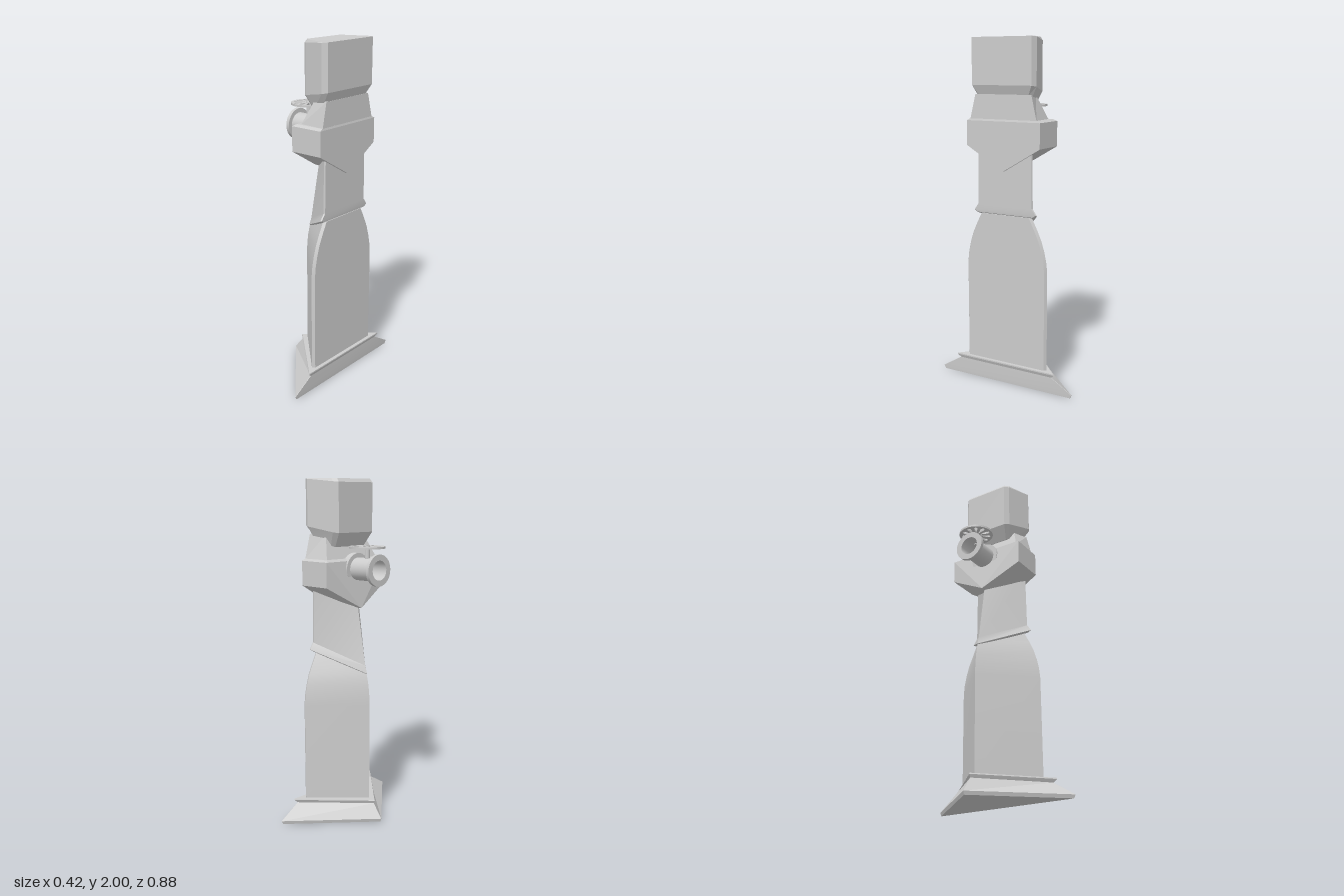
import * as THREE from 'three';
import { toCreasedNormals } from 'three/addons/utils/BufferGeometryUtils.js';

const material = new THREE.MeshStandardMaterial({ color: 0xcccccc, side: THREE.DoubleSide });

function add(parent, name, geometry) {
  const mesh = new THREE.Mesh(geometry, material);
  mesh.name = name;
  parent.add(mesh);
  return mesh;
}

// Skins a list of rings (arrays of [x, y, z]) and caps both ends.
function loft(rings, crease = 0.35) {
  const pos = [];
  const tri = (a, b, c) => pos.push(...a, ...b, ...c);
  const n = rings[0].length;
  for (let k = 0; k < rings.length - 1; k++) {
    for (let i = 0; i < n; i++) {
      const j = (i + 1) % n, lo = rings[k], hi = rings[k + 1];
      tri(lo[i], lo[j], hi[j]);
      tri(lo[i], hi[j], hi[i]);
    }
  }
  const first = rings[0], last = rings[rings.length - 1];
  for (let i = 1; i < n - 1; i++) {
    tri(first[0], first[i + 1], first[i]);
    tri(last[0], last[i], last[i + 1]);
  }
  const g = new THREE.BufferGeometry();
  g.setAttribute('position', new THREE.Float32BufferAttribute(pos, 3));
  return toCreasedNormals(g, crease);
}

// Triangular section: apex towards -x, flat back, trimmed back corners.
// y is a number or a function of x.
function wedge(apex, back, half, y, trim = 0.016) {
  const at = typeof y === 'function' ? y : () => y;
  const p = (x, z) => [x, at(x), z];
  return [p(apex, 0), p(back - trim, half), p(back, half - trim * 0.7),
    p(back, -half + trim * 0.7), p(back - trim, -half)];
}

// Four-sided section with its own front and back widths.
const rect = (x0, x1, h0, h1, y) => [[x0, y, h0], [x1, y, h1], [x1, y, -h1], [x0, y, -h0]];

// Eight-sided head section; the front and back may lie at different heights.
function headRing(x0, x1, s, yFront, yBack) {
  const half = [[0, 0.135], [0.12, 0.157], [0.86, 0.206], [1, 0.19]].map(([t, z]) =>
    [x0 + (x1 - x0) * t, yFront + (yBack - yFront) * t, z * s]);
  return [...half, ...half.slice().reverse().map(([x, y, z]) => [x, y, -z])];
}

export function createModel() {
  const model = new THREE.Group();
  model.name = 'column';

  // Flared triangular foot with a small upper lip
  add(model, 'base', loft([
    wedge(-0.205, 0.183, 0.43, 0, 0.002),
    wedge(-0.213, 0.185, 0.44, 0.02, 0.002),
    wedge(-0.15, 0.187, 0.31, 0.1, 0.002),
    wedge(-0.16, 0.195, 0.33, 0.118, 0.002),
    wedge(-0.155, 0.195, 0.328, 0.125, 0.002),
  ]));

  // Lower shaft, straight then curving inwards
  add(model, 'lowerShaft', loft([
    [0.12, -0.112, 0.266], [0.7, -0.112, 0.266], [0.76, -0.11, 0.26], [0.82, -0.103, 0.247],
    [0.88, -0.09, 0.229], [0.94, -0.06, 0.202], [1.01, -0.03, 0.166],
  ].map(([y, apex, half]) => wedge(apex, 0.174, half, y))));

  // Upper shaft with a slanted lip at its lower edge
  const slant = (lift) => (x) => 0.877 + lift + (x + 0.09) * 0.515;
  add(model, 'upperShaft', loft([
    wedge(-0.08, 0.178, 0.185, slant(0), 0.008),
    wedge(-0.092, 0.18, 0.207, slant(0.012), 0.008),
    wedge(-0.076, 0.18, 0.18, slant(0.05), 0.008),
    wedge(0.008, 0.18, 0.175, 1.42, 0.008),
  ]));

  // Collar: pentagon with a keel-shaped underside and a pointed front
  const pentagon = (x, xKeel, yKeel) => [[xKeel, yKeel, 0], [x, 1.4, -0.236],
    [x, 1.542, -0.236], [x, 1.542, 0.236], [x, 1.4, 0.236]];
  add(model, 'collar', loft([pentagon(-0.005, -0.045, 1.27), pentagon(0.198, 0.198, 1.262)], 0.1));
  add(model, 'collarBevel', loft([
    rect(-0.005, 0.198, 0.236, 0.236, 1.542), rect(0.012, 0.195, 0.216, 0.216, 1.553),
  ], 0.1));

  // Tapering neck
  add(model, 'neck', loft([
    rect(0.03, 0.195, 0.2, 0.214, 1.55), rect(0.09, 0.192, 0.15, 0.18, 1.69),
  ], 0.1));

  // Head block with bevelled top and tapered underside
  add(model, 'head', loft([
    headRing(0.05, 0.19, 0.85, 1.62, 1.69),
    headRing(0, 0.21, 1, 1.7, 1.74),
    headRing(0, 0.21, 1, 1.98, 2),
    headRing(0.016, 0.21, 0.97, 2, 2),
  ], 0.1));

  const valve = new THREE.Group();
  valve.name = 'valve';
  model.add(valve);

  // Hollow outlet pipe with a flange at each end
  const profile = [[0, -0.02], [0.09, -0.02], [0.09, 0.018], [0.065, 0.018], [0.065, 0.165],
    [0.09, 0.165], [0.09, 0.185], [0.056, 0.185], [0.056, 0.03], [0, 0.03]]
    .map(([r, y]) => new THREE.Vector2(r, y));
  const pipe = add(valve, 'outletPipe',
    toCreasedNormals(new THREE.LatheGeometry(profile, 32).toNonIndexed(), 0.5));
  pipe.rotation.z = Math.PI / 2;
  pipe.position.y = 1.495;

  // Handwheel: thin disc with teardrop openings
  const disc = new THREE.Shape().absarc(0, 0, 0.102, 0, Math.PI * 2);
  const petals = 11;
  for (let i = 0; i < petals; i++) {
    const a = Math.PI * (0.45 + (2 * i) / petals);
    const at = (r, t) => [r * Math.cos(a) - t * Math.sin(a), r * Math.sin(a) + t * Math.cos(a)];
    const hole = new THREE.Path().moveTo(...at(0.024, 0));
    hole.lineTo(...at(0.074, -0.012));
    hole.quadraticCurveTo(...at(0.084, -0.011), ...at(0.09, 0));
    hole.quadraticCurveTo(...at(0.084, 0.011), ...at(0.074, 0.012));
    hole.closePath();
    disc.holes.push(hole);
  }
  const wheel = add(valve, 'handwheel', new THREE.ExtrudeGeometry(disc,
    { depth: 0.012, bevelEnabled: false, curveSegments: 32 }));
  wheel.rotation.x = -Math.PI / 2;
  wheel.position.set(-0.098, 1.615, -0.008);

  // Stem and hub
  const stem = add(valve, 'stem', new THREE.CylinderGeometry(0.014, 0.014, 0.08, 16));
  stem.position.set(-0.098, 1.585, -0.008);
  const hub = add(valve, 'hub', new THREE.CylinderGeometry(0.016, 0.016, 0.018, 16));
  hub.position.set(-0.098, 1.622, -0.008);

  return model;
}
